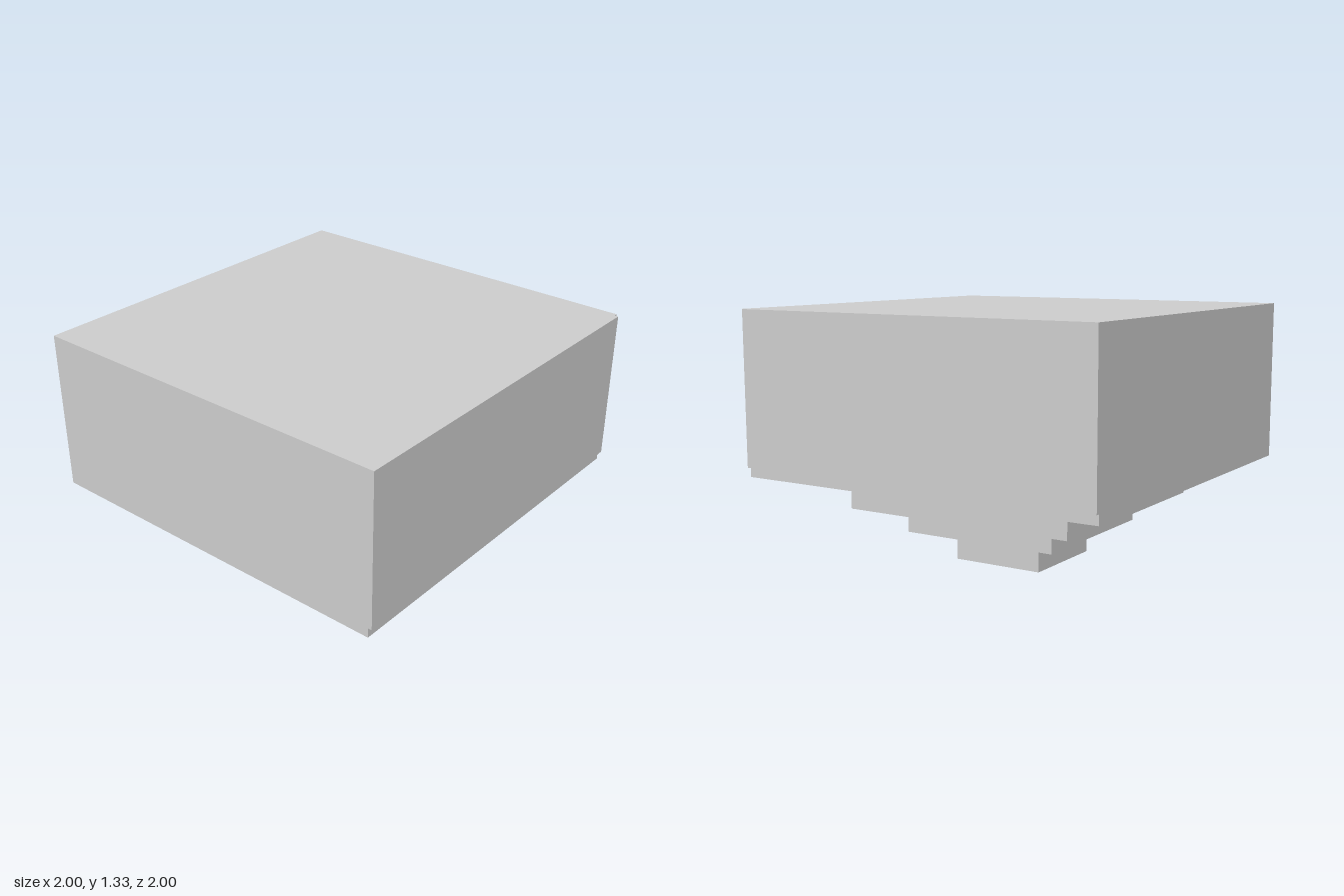
import * as THREE from 'three';

export function createModel() {
  const group = new THREE.Group();
  const material = new THREE.MeshStandardMaterial({ color: 0xcccccc, flatShading: true });
  const thin = new THREE.MeshStandardMaterial({ color: 0xcccccc, flatShading: true, side: THREE.DoubleSide });

  // Box given by its lower and upper corners
  function block(name, [x0, y0, z0], [x1, y1, z1]) {
    const geometry = new THREE.BoxGeometry(x1 - x0, y1 - y0, z1 - z0);
    const mesh = new THREE.Mesh(geometry, material);
    mesh.position.set((x0 + x1) / 2, (y0 + y1) / 2, (z0 + z1) / 2);
    mesh.name = name;
    group.add(mesh);
  }

  const bottom = 0.485, floor = 0.535, top = 1.325;
  const face = 0.98; // front and left faces of the body, behind the cladding

  // Main body and the two cladding panels, leaving a notch at their corner
  block('body', [-1, floor, -1], [face, top, face]);
  block('frontPanel', [-1, floor, face], [face, top, 1]);
  block('leftPanel', [face, floor, -1], [1, top, face]);

  // Thin skirt around the recessed underside
  const skirtGeometry = new THREE.CylinderGeometry(
    0.99 * Math.SQRT2, 0.99 * Math.SQRT2, floor - bottom, 4, 1, true);
  skirtGeometry.rotateY(Math.PI / 4);
  const skirt = new THREE.Mesh(skirtGeometry, thin);
  skirt.position.set(-0.01, (bottom + floor) / 2, -0.01);
  skirt.name = 'skirt';
  group.add(skirt);

  // Stepped base, narrowing downwards: half width, lower and upper height
  const tiers = [[0.638, 0.298, floor], [0.432, 0.16, 0.298], [0.25, 0, 0.16]];
  tiers.forEach(([h, y0, y1], i) => {
    block(`baseTier${i + 1}`, [-0.01 - h, y0, -0.01 - h], [-0.01 + h, y1, -0.01 + h]);
  });

  return group;
}
